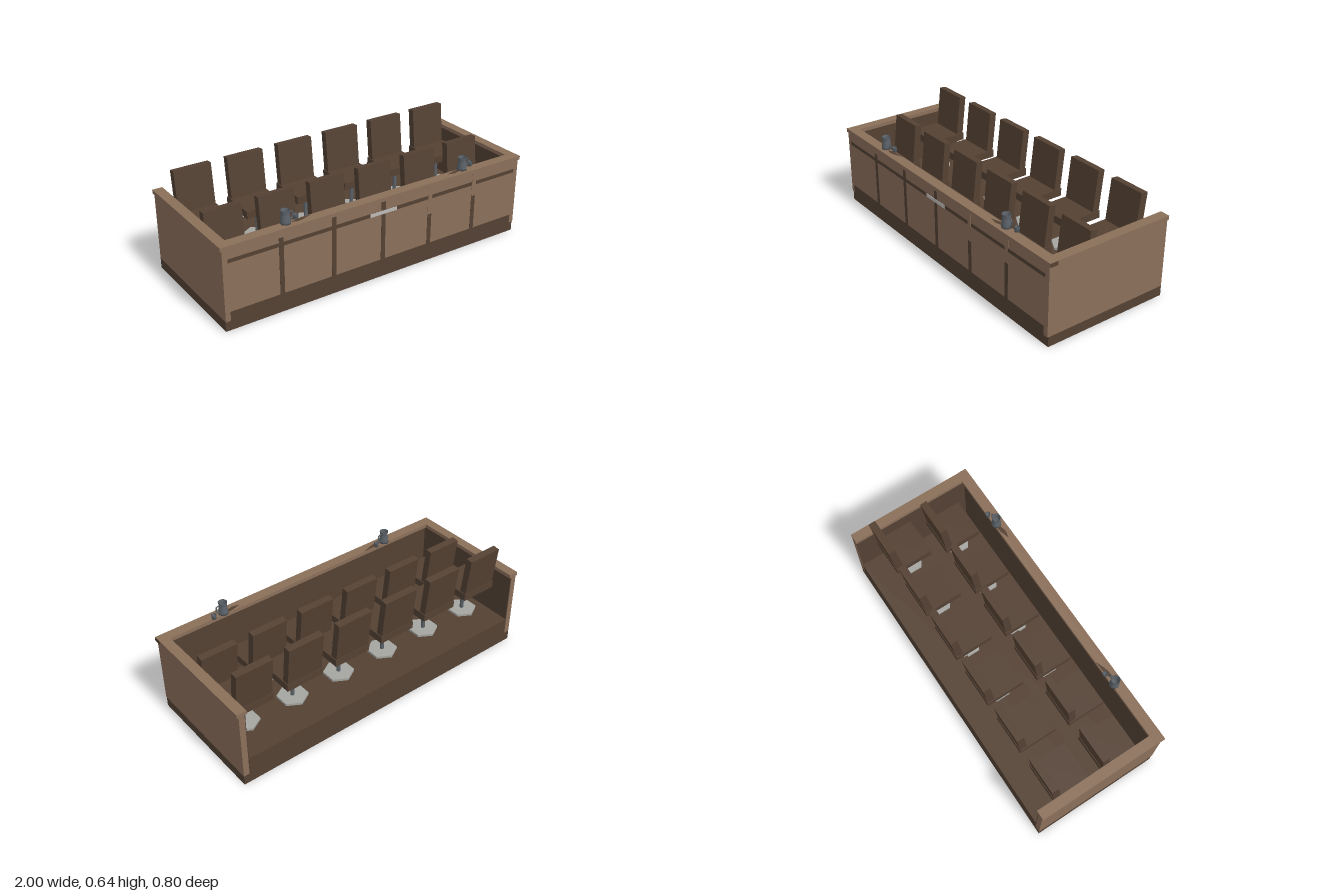
import * as THREE from 'three';

const mat = (name, color, side = THREE.FrontSide) => {
  const m = new THREE.MeshStandardMaterial({ color, side });
  m.name = name;
  return m;
};

export function createModel() {
  const tan = mat('tan wood', 0x8a6f59);
  const dark = mat('dark wood', 0x544133);
  const pewter = mat('pewter', 0x5c636a, THREE.DoubleSide);
  const steel = mat('foot steel', 0xa5a5a2);
  const plate = mat('pale plate', 0xbcbab7);

  const root = new THREE.Group();
  root.name = 'seatingBox';

  const add = (parent, name, geometry, material, x = 0, y = 0, z = 0) => {
    const m = new THREE.Mesh(geometry, material);
    m.name = name;
    m.position.set(x, y, z);
    parent.add(m);
    return m;
  };
  // Box given by its minimum and maximum on each axis
  const box = (parent, name, material, x0, x1, y0, y1, z0, z1) =>
    add(parent, name, new THREE.BoxGeometry(x1 - x0, y1 - y0, z1 - z0), material,
      (x0 + x1) / 2, (y0 + y1) / 2, (z0 + z1) / 2);

  // Floor, open-bottomed skirting and raised rear platform
  box(root, 'floor', dark, -0.96, 0.96, 0.05, 0.06, -0.385, 0.36);
  box(root, 'frontSkirting', dark, -0.99, 0.99, 0, 0.06, 0.36, 0.39);
  box(root, 'rearSkirting', dark, -0.96, 0.96, 0, 0.06, -0.4, -0.385);
  box(root, 'rearPlatform', dark, -0.95, 0.95, 0.06, 0.167, -0.4, 0.007);

  // Walls, dark inner linings and the cap rail
  box(root, 'frontWall', tan, -0.99, 0.99, 0.06, 0.475, 0.36, 0.396);
  box(root, 'frontLining', dark, -0.95, 0.95, 0.06, 0.475, 0.355, 0.36);
  box(root, 'frontCap', tan, -1, 1, 0.475, 0.498, 0.337, 0.4);
  for (const s of [-1, 1]) {
    const span = (a, b) => [Math.min(s * a, s * b), Math.max(s * a, s * b)];
    box(root, 'sideSkirting', dark, ...span(0.96, 0.99), 0, 0.06, -0.4, 0.36);
    box(root, 'sideWall', tan, ...span(0.955, 0.99), 0.06, 0.475, -0.4, 0.36);
    box(root, 'sideLining', dark, ...span(0.95, 0.955), 0.06, 0.475, -0.398, 0.36);
    box(root, 'sideCap', tan, ...span(0.94, 1), 0.475, 0.498, -0.4, 0.337);
  }
  box(root, 'capEnd', dark, 0.999, 1.001, 0.475, 0.498, 0.35, 0.4);

  // Front trim: two rails and five stiles, almost flush with the wall
  box(root, 'lowerRail', dark, -0.96, 0.96, 0.06, 0.115, 0.39, 0.397);
  box(root, 'upperRail', dark, -0.96, 0.96, 0.4, 0.422, 0.39, 0.397);
  [0.45, 0.475, 0.475, 0.305, 0.33].forEach((top, i) => {
    const x = (i - 2) * 0.325;
    box(root, 'stile', dark, x - 0.014, x + 0.014, 0.115, top, 0.39, 0.3972);
    if (top < 0.4) box(root, 'stileTop', tan, x - 0.014, x + 0.014, top, 0.475, 0.39, 0.398);
  });
  box(root, 'frontPlate', plate, -0.09, 0.09, 0.4, 0.421, 0.39, 0.4);

  // Swivel chairs: six in each of two rows
  const footGeo = new THREE.CylinderGeometry(0.09, 0.09, 0.014, 6).toNonIndexed();
  footGeo.computeVertexNormals();
  const poleGeo = new THREE.CylinderGeometry(0.012, 0.012, 0.175, 8);
  const backGeo = new THREE.BoxGeometry(0.225, 0.248, 0.043);
  const addChair = (x, y, z) => {
    const chair = new THREE.Group();
    chair.name = 'chair';
    chair.position.set(x, y, z);
    add(chair, 'foot', footGeo, steel, 0, 0.007, 0);
    add(chair, 'pole', poleGeo, pewter, 0, 0.1, 0);
    box(chair, 'seat', dark, -0.118, 0.118, 0.185, 0.23, -0.128, 0.107);
    add(chair, 'backrest', backGeo, dark, 0, 0.349, -0.116).rotation.x = -0.11;
    root.add(chair);
  };
  for (let i = 0; i < 6; i++) {
    const x = (i - 2.5) * 0.326;
    addChair(x, 0.167, -0.15);
    addChair(x, 0.06, 0.187);
  }

  // Jugs with handles and a small cup beside each, on the front cap
  const jugGeo = new THREE.LatheGeometry(
    [[0, 0], [0.029, 0], [0.0285, 0.012], [0.024, 0.05], [0.0235, 0.06], [0.0265, 0.077], [0.024, 0.076], [0.021, 0.058], [0.02, 0.01], [0, 0.008]]
      .map(([r, y]) => new THREE.Vector2(r, y)), 14);
  const handleGeo = new THREE.TubeGeometry(new THREE.CatmullRomCurve3(
    [[0.022, 0.06], [0.04, 0.058], [0.044, 0.045], [0.042, 0.025], [0.026, 0.014]]
      .map(([x, y]) => new THREE.Vector3(x, y, 0))), 14, 0.004, 6);
  const cupGeo = new THREE.LatheGeometry(
    [[0, 0], [0.013, 0], [0.015, 0.029], [0.013, 0.029], [0.011, 0.004], [0, 0.004]]
      .map(([r, y]) => new THREE.Vector2(r, y)), 10);
  for (const x of [-0.595, 0.59]) {
    const set = new THREE.Group();
    set.name = 'jugAndCup';
    set.position.set(x, 0.498, 0.351);
    add(set, 'jug', jugGeo, pewter);
    add(set, 'jugHandle', handleGeo, pewter);
    add(set, 'cup', cupGeo, pewter, 0.07, 0, -0.013);
    root.add(set);
  }

  // Thin dark inlays in the cap beside the jugs
  const addInlay = (points) => {
    const shape = new THREE.Shape(points.map(([x, z]) => new THREE.Vector2(x, -z)));
    add(root, 'capInlay', new THREE.ShapeGeometry(shape), dark, 0, 0.4985, 0).rotation.x = -Math.PI / 2;
  };
  addInlay([[-0.57, 0.355], [-0.53, 0.37], [-0.49, 0.362], [-0.43, 0.34], [-0.5, 0.342]]);
  addInlay([[0.57, 0.34], [0.53, 0.344], [0.475, 0.362], [0.52, 0.372], [0.565, 0.362]]);
  return root;
}
